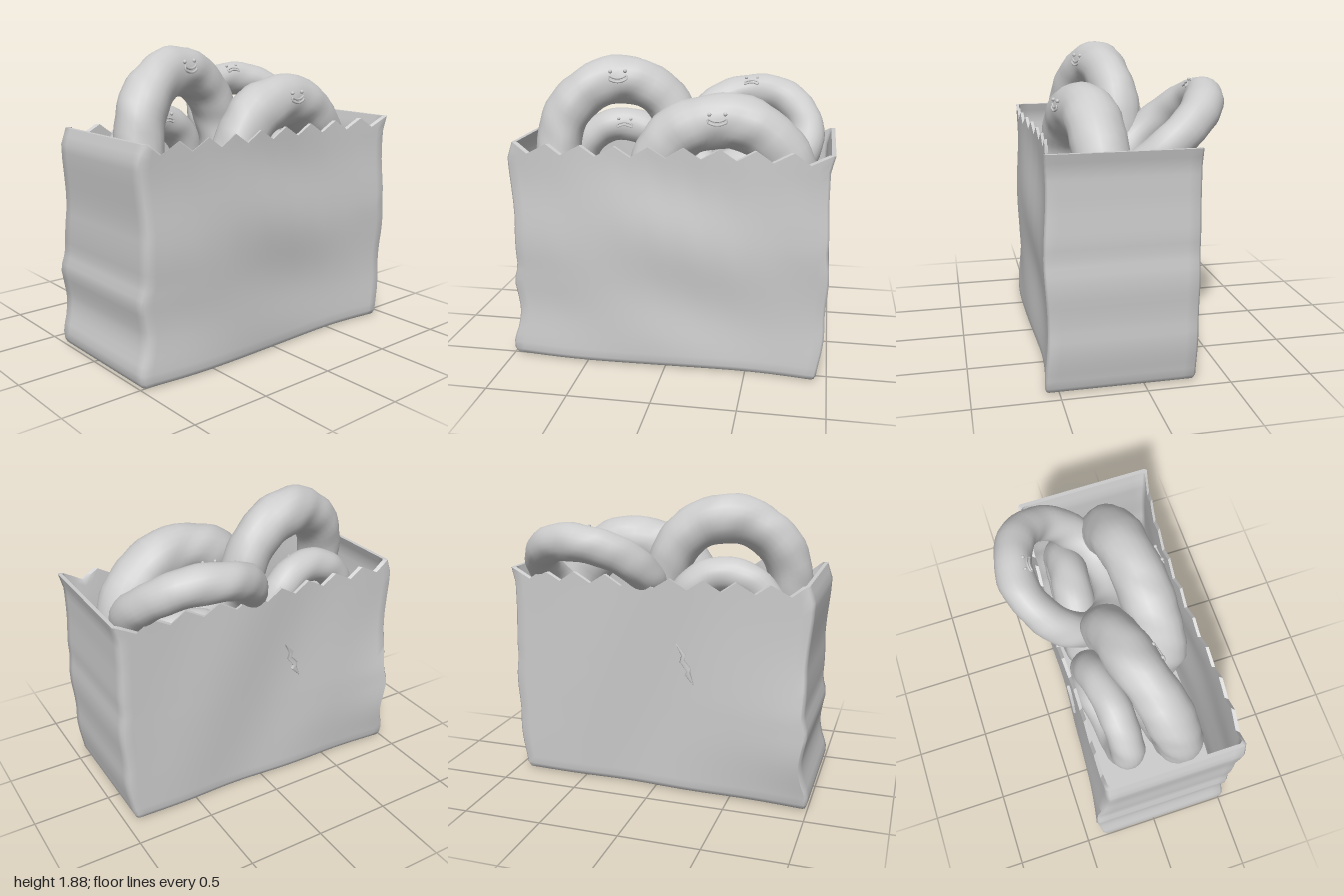
import * as THREE from 'three';
import { mergeVertices, toCreasedNormals } from 'three/addons/utils/BufferGeometryUtils.js';

const mat = new THREE.MeshStandardMaterial({ color: 0xcccccc, roughness: 0.9, side: THREE.DoubleSide });

function mesh(name, geometry) {
  const m = new THREE.Mesh(geometry, mat);
  m.name = name;
  return m;
}

// ---- paper bag: one skin running underside -> outer wall -> rim -> inner wall -> floor
const TEETH = 9;
const CORNERS = [[-1, 0.515], [1, 0.575], [1, -0.305], [-1, -0.34]];
// crumpled half widths, every 0.1 from the ground up
const LEFT = [0.995, 1, 0.965, 0.95, 0.965, 0.985, 0.955, 0.96, 0.96, 0.955, 0.96, 0.97, 0.98, 0.985, 0.95];
const RIGHT = [0.93, 0.945, 0.965, 0.975, 0.97, 0.975, 0.985, 0.985, 0.97, 0.975, 0.97, 0.965, 0.965, 0.965, 0.99];

function profile(list, y) {
  const f = Math.min(Math.max(y, 0) * 10, list.length - 1.001);
  const i = Math.floor(f);
  return THREE.MathUtils.lerp(list[i], list[i + 1], f - i);
}

function bagColumns() {
  const cols = [];
  for (let side = 0; side < 4; side++) {
    const wide = side % 2 === 0;
    const n = wide ? TEETH * 4 : 14;
    const trim = wide ? 0.007 : 0.016;
    for (let i = 0; i <= n; i++) {
      const f = i / n;
      const top = wide ? 1.335 + 0.065 * Math.abs(1 - 2 * ((f * TEETH) % 1)) : 1.4;
      cols.push({ side, t: trim + f * (1 - 2 * trim), top });
    }
  }
  return cols;
}

// wall position for a column at relative height v
function wallPoint({ side, t, top }, v, y0, scale) {
  const a = CORNERS[side], b = CORNERS[(side + 1) % 4];
  let x = a[0] + (b[0] - a[0]) * t;
  let z = a[1] + (b[1] - a[1]) * t;
  const y = y0 + v * (top - y0);
  const edge = Math.sin(Math.PI * t);
  // the back left corner swells low down
  if (x < 0 && z < 0) z -= 0.078 * x * x * Math.min(1, -z / 0.34) * Math.exp(-(((y - 0.42) / 0.42) ** 2));
  // wavy front corners
  if (z > 0) z += 0.009 * Math.min(1, z / 0.5) * Math.cos((y - 0.8) * 8);
  // front panel: slight S in plan, rim pulled in
  if (side === 0) z += 0.028 * Math.sin(2 * Math.PI * t) - 0.04 * edge * (y / 1.4) ** 3 + 0.006 * edge * Math.sin(y * 9 + x * 5);
  // back panel: rim pushed out
  if (side === 2) z += 0.01 * edge * Math.sin(x * 6 + y * 3) - 0.018 * edge * (y / 1.4);
  x *= profile(x < 0 ? LEFT : RIGHT, y);
  return [x * scale, y, 0.1 + (z - 0.1) * (1 - (1 - scale) * 1.8)];
}

function bagGeometry() {
  const cols = bagColumns();
  const rows = [[0, 0.012, 0], [0, 0.008, 0.5], [0, 0.003, 0.965], [0, 0.014, 0.99]];
  const N = 28;
  for (let i = 0; i <= N; i++) rows.push([i / N, 0.04, 1]);
  for (let i = N; i >= 0; i--) rows.push([i / N, 0.05, 0.975]);
  rows.push([0, 0.05, 0]);
  const pos = [], index = [];
  for (const [v, y0, scale] of rows) {
    for (const c of cols) {
      const p = wallPoint(c, v, y0, scale);
      if (scale === 0) p[2] = 0.1;
      pos.push(...p);
    }
  }
  const n = cols.length;
  for (let r = 0; r < rows.length - 1; r++) {
    for (let i = 0; i < n; i++) {
      const j = (i + 1) % n, a = r * n, b = a + n;
      if (r > 0) index.push(a + i, a + j, b + j);
      if (r < rows.length - 2) index.push(a + i, b + j, b + i);
    }
  }
  const g = new THREE.BufferGeometry();
  g.setAttribute('position', new THREE.Float32BufferAttribute(pos, 3));
  g.setIndex(index);
  return toCreasedNormals(g, 0.9);
}

// small raised crease in the back panel
function creaseGeometry() {
  const s = new THREE.Shape();
  [[0.05, 0.14], [0.015, 0.07], [0.025, 0.03], [-0.02, -0.03], [-0.005, -0.05], [-0.06, -0.11],
    [-0.035, -0.035], [-0.04, -0.01], [0.005, 0.04], [-0.005, 0.075]]
    .forEach(([x, y], i) => (i ? s.lineTo(x, y) : s.moveTo(x, y)));
  return toCreasedNormals(new THREE.ExtrudeGeometry(s, {
    depth: 0.008, bevelThickness: 0.008, bevelSize: 0.01, bevelOffset: -0.006, bevelSegments: 2,
  }), 1.2);
}

// ---- lumpy ring
function ringGeometry(R, r, seed) {
  let g = new THREE.TorusGeometry(R, r, 22, 60);
  g.deleteAttribute('uv');
  g.deleteAttribute('normal');
  g = mergeVertices(g, 1e-4);
  const p = g.attributes.position;
  const v = new THREE.Vector3(), c = new THREE.Vector3();
  for (let i = 0; i < p.count; i++) {
    v.fromBufferAttribute(p, i);
    c.set(v.x, v.y, 0).setLength(R);
    const lump = 1
      + 0.04 * Math.sin(v.x * 11 + seed) * Math.cos(v.y * 9 + seed * 2)
      + 0.03 * Math.sin(v.z * 17 + v.x * 14 + seed * 3)
      + 0.035 * Math.sin(v.y * 27 + v.z * 20 + seed) * Math.cos(v.x * 24 - seed);
    v.sub(c).multiplyScalar(lump).add(c);
    p.setXYZ(i, v.x, v.y, v.z);
  }
  g.computeVertexNormals();
  return g;
}

// ---- face: two eyes and a curved lip outline; mood +1 smiles, -1 frowns
function makeFace(mood, size) {
  const face = new THREE.Group();
  face.name = 'face';
  for (const s of [-1, 1]) {
    const eye = mesh('eye', new THREE.SphereGeometry(0.012, 12, 8));
    eye.position.set(s * 0.047, 0.03, -0.002);
    face.add(eye);
  }
  const pts = [];
  const M = 6;
  for (const dir of [1, -1]) {
    for (let i = 0; i <= M; i++) {
      const u = dir * ((2 * i) / M - 1);
      pts.push(new THREE.Vector3(u * 0.054, mood * 0.008 * (2 * u * u - 1) - 0.016 - dir * 0.011, 0));
    }
  }
  const lips = new THREE.CatmullRomCurve3(pts, true);
  face.add(mesh('mouth', new THREE.TubeGeometry(lips, 48, 0.007, 6, true)));
  face.scale.setScalar(size);
  return face;
}

function makeRing({ name, R, r, at, turn, seed, face, stretch = [1, 1, 1] }) {
  const ring = new THREE.Group();
  ring.name = name;
  ring.add(mesh('dough', ringGeometry(R, r, seed)));
  if (face) {
    const [angle, lift, mood, size] = face; // position round the ring and over the tube
    const f = makeFace(mood, size);
    const dir = new THREE.Vector3(Math.sin(angle), Math.cos(angle), 0);
    const normal = dir.clone().multiplyScalar(Math.sin(lift)).add(new THREE.Vector3(0, 0, Math.cos(lift)));
    f.position.copy(dir).multiplyScalar(R).addScaledVector(normal, r * 1.01);
    f.rotation.set(-lift, 0, -angle * 0.5);
    ring.add(f);
  }
  ring.position.set(...at);
  ring.rotation.set(turn[0], turn[1], turn[2], 'YXZ');
  ring.scale.set(...stretch);
  return ring;
}

export function createModel() {
  const model = new THREE.Group();
  model.name = 'bagOfRings';

  model.add(mesh('paperBag', bagGeometry()));

  const crease = mesh('backCrease', creaseGeometry());
  crease.position.set(-0.2, 0.85, -0.34);
  model.add(crease);

  const rings = [
    { name: 'tallRing', R: 0.41, r: 0.145, at: [-0.37, 1.305, 0.075], turn: [-0.13, 0.26, 0], seed: 1, face: [-0.04, 0.12, 1, 1], stretch: [0.98, 1.05, 1] },
    { name: 'frontRing', R: 0.43, r: 0.167, at: [0.3, 1.1, 0.243], turn: [0, 0.11, 0], seed: 2.3, face: [-0.05, 0.18, 1, 1] },
    { name: 'leaningRing', R: 0.395, r: 0.116, at: [0.44, 1.35, -0.165], turn: [-0.84, -0.13, 0], seed: 3.7, face: [-0.12, -0.1, -1, 0.85], stretch: [0.95, 1, 1] },
    { name: 'smallRing', R: 0.29, r: 0.108, at: [-0.41, 1.125, -0.16], turn: [0, 0.14, 0], seed: 4.4, face: [0.05, 0.2, -1, 0.85] },
    { name: 'buriedRing', R: 0.33, r: 0.125, at: [0.47, 0.84, -0.12], turn: [0, -0.08, 0], seed: 5.9 },
  ];
  for (const ring of rings) model.add(makeRing(ring));
  return model;
}
